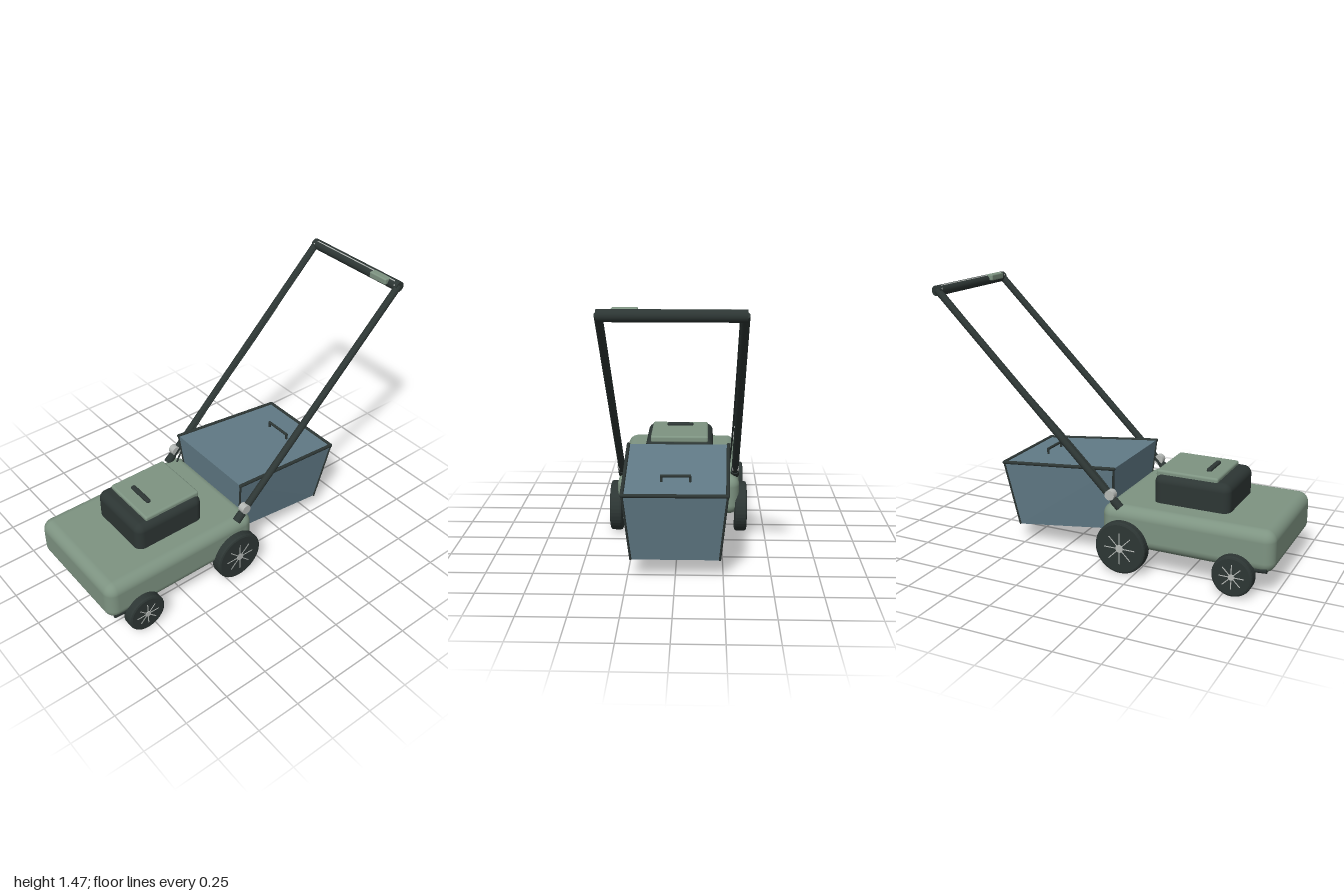
import * as THREE from 'three';
import { RoundedBoxGeometry } from 'three/addons/geometries/RoundedBoxGeometry.js';
import { ConvexGeometry } from 'three/addons/geometries/ConvexGeometry.js';

const V = (x, y, z) => new THREE.Vector3(x, y, z);

function material(name, color) {
  const m = new THREE.MeshStandardMaterial({ color });
  m.name = name;
  return m;
}

export function createModel() {
  const green = material('sage green', 0x7e9482);
  const dark = material('dark rubber', 0x2d3634);
  const blue = material('blue grey', 0x627c88);
  const steel = material('light steel', 0xb5b9b6);
  const root = new THREE.Group();
  root.name = 'lawnMower';

  function add(name, geometry, mat, x = 0, y = 0, z = 0, parent = root) {
    const mesh = new THREE.Mesh(geometry, mat);
    mesh.name = name;
    mesh.position.set(x, y, z);
    parent.add(mesh);
    return mesh;
  }

  // Straight round bar between two points
  function rod(name, a, b, r, mat, parent = root, sides = 16) {
    const dir = b.clone().sub(a);
    const mid = a.clone().add(b).multiplyScalar(0.5);
    const mesh = add(name, new THREE.CylinderGeometry(r, r, dir.length(), sides), mat, mid.x, mid.y, mid.z, parent);
    mesh.quaternion.setFromUnitVectors(V(0, 1, 0), dir.normalize());
    return mesh;
  }

  // Deck and engine
  add('deck', new RoundedBoxGeometry(0.7, 0.23, 0.96, 6, 0.06), green, 0, 0.245, 0.52);
  add('engineHousing', new RoundedBoxGeometry(0.4, 0.22, 0.43, 5, 0.045), dark, 0, 0.405, 0.495);
  add('engineCover', new RoundedBoxGeometry(0.34, 0.04, 0.35, 3, 0.012), green, 0, 0.515, 0.46);
  add('starterGrip', new RoundedBoxGeometry(0.16, 0.022, 0.028, 3, 0.01), dark, 0, 0.54, 0.55);

  // Wheels with hub and spokes on both faces
  function wheel(name, x, r, z) {
    const g = new THREE.Group();
    g.name = name;
    g.position.set(x, r, z);
    root.add(g);
    const h = 0.035;
    const profile = [[0, -h], [r - 0.012, -h], [r - 0.003, -h + 0.004], [r, -h + 0.012],
      [r, h - 0.012], [r - 0.003, h - 0.004], [r - 0.012, h], [0, h]];
    const tyre = add('tyre', new THREE.LatheGeometry(profile.map(p => new THREE.Vector2(...p)), 40), dark, 0, 0, 0, g);
    tyre.geometry = tyre.geometry.toNonIndexed();
    tyre.geometry.computeVertexNormals();
    tyre.rotation.z = Math.PI / 2;
    const hub = add('hub', new THREE.CylinderGeometry(r * 0.15, r * 0.15, 2 * h + 0.008, 16), steel, 0, 0, 0, g);
    hub.rotation.z = Math.PI / 2;
    for (const side of [-1, 1]) {
      for (let i = 0; i < 8; i++) {
        const a = i * Math.PI / 4;
        const spoke = add('spoke', new THREE.BoxGeometry(0.004, r * 0.5, 0.005), steel,
          side * h, Math.cos(a) * r * 0.36, Math.sin(a) * r * 0.36, g);
        spoke.rotation.x = a;
      }
    }
  }

  for (const s of [-1, 1]) {
    const side = s > 0 ? 'left' : 'right';
    wheel(side + 'RearWheel', s * 0.36, 0.145, 0.175);
    wheel(side + 'FrontWheel', s * 0.36, 0.11, 0.8);
    rod(side + 'FrontAxleArm', V(s * 0.328, 0.14, 0.8), V(s * 0.328, 0.152, 0.965), 0.016, dark);

    // Handle side bar, pivot knob and end screw
    rod(side + 'HandleBar', V(s * 0.325, 0.352, 0.142), V(s * 0.325, 1.435, -0.965), 0.02, dark);
    rod(side + 'HandleSocket', V(s * 0.325, 0.348, 0.146), V(s * 0.325, 0.385, 0.108), 0.024, dark);
    rod(side + 'PivotKnob', V(s * 0.307, 0.415, 0.092), V(s * 0.347, 0.415, 0.092), 0.028, steel);
    rod(side + 'BailEnd', V(s * 0.3, 1.456, -0.957), V(s * 0.318, 1.44, -0.94), 0.005, steel, root, 8);
  }

  // Grip, bail lever, trigger and control cable
  rod('gripBar', V(-0.335, 1.432, -0.966), V(0.335, 1.432, -0.966), 0.029, dark, root, 24);
  rod('bailLever', V(-0.3, 1.456, -0.957), V(0.3, 1.456, -0.957), 0.005, steel, root, 8);
  add('trigger', new RoundedBoxGeometry(0.12, 0.036, 0.045, 3, 0.008), green, 0.21, 1.447, -0.94);
  const cable = new THREE.CatmullRomCurve3([V(-0.305, 1.43, -0.95), V(-0.302, 1.0, -0.52),
    V(-0.298, 0.65, -0.15), V(-0.288, 0.42, 0.07), V(-0.28, 0.34, 0.12)]);
  add('controlCable', new THREE.TubeGeometry(cable, 32, 0.005, 8), dark);

  // Tapered grass bag; corner rings run front-left, front-right, rear-right, rear-left
  const ring = (wf, yf, zf, wr, yr, zr) =>
    [V(wf, yf, zf), V(-wf, yf, zf), V(-wr, yr, zr), V(wr, yr, zr)];
  const top = ring(0.285, 0.543, 0.088, 0.267, 0.474, -0.61);
  const bottom = ring(0.242, 0.182, 0.06, 0.232, 0.1, -0.535);
  const bag = new THREE.Group();
  bag.name = 'grassBag';
  root.add(bag);
  add('bagBody', new ConvexGeometry([...top, ...bottom]), blue, 0, 0, 0, bag);
  for (let i = 0; i < 4; i++) {
    const j = (i + 1) % 4;
    if (i > 0) rod('rimTrim', top[i], top[j], 0.01, dark, bag, 10);
    add('rimCorner', new THREE.SphereGeometry(0.01, 10, 8), dark, top[i].x, top[i].y, top[i].z, bag);
    rod('cornerTrim', top[i], bottom[i], 0.006, dark, bag, 8);
  }

  // Bag carrying handle
  rod('bagHandleGrip', V(-0.08, 0.522, -0.432), V(0.08, 0.522, -0.432), 0.008, dark, bag, 10);
  for (const s of [-1, 1]) {
    rod('bagHandlePost', V(s * 0.075, 0.485, -0.432), V(s * 0.075, 0.522, -0.432), 0.007, dark, bag, 10);
  }
  return root;
}
